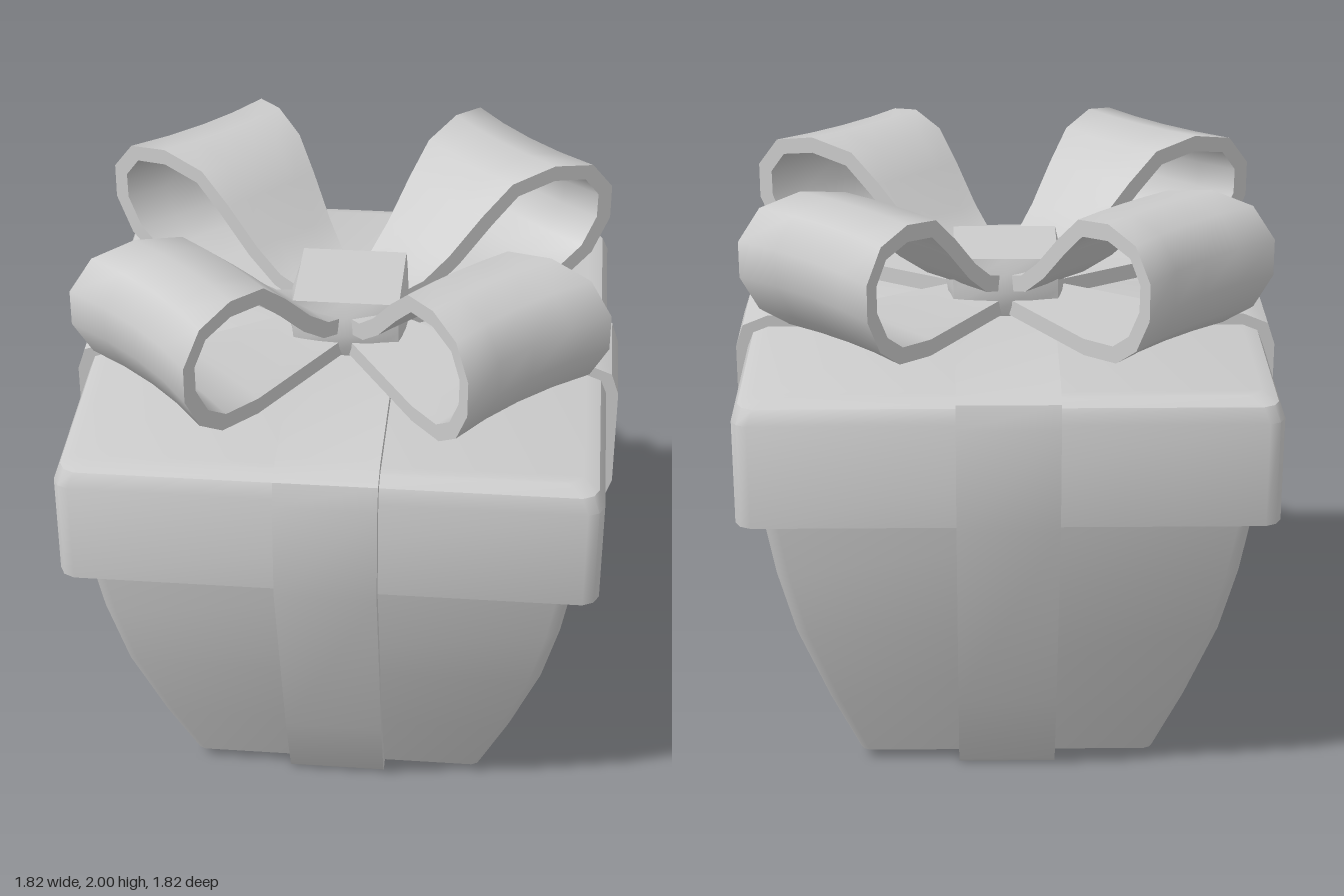
import * as THREE from 'three';
import { toCreasedNormals } from 'three/addons/utils/BufferGeometryUtils.js';

const material = new THREE.MeshStandardMaterial({ color: 0xcccccc });

function addMesh(parent, name, geometry) {
  const mesh = new THREE.Mesh(geometry, material);
  mesh.name = name;
  parent.add(mesh);
  return mesh;
}

// Skin over closed rings (counter-clockwise about the travel direction), capped at both ends
function loft(rings, crease) {
  const n = rings[0].length, pos = [], index = [];
  rings.forEach((ring) => ring.forEach((p) => pos.push(...p)));
  for (let i = 0; i < rings.length - 1; i++) {
    for (let j = 0; j < n; j++) {
      const a = i * n + j, b = i * n + (j + 1) % n;
      index.push(a, b, b + n, a, b + n, a + n);
    }
  }
  const last = (rings.length - 1) * n;
  // Caps are zipped from both sides, so long thin sections stay well formed
  for (let lo = 0, hi = n - 1; lo < hi; lo++, hi--) {
    index.push(hi, lo + 1, lo, last + lo, last + lo + 1, last + hi);
    if (hi - 1 > lo + 1) {
      index.push(hi, hi - 1, lo + 1, last + lo + 1, last + hi - 1, last + hi);
    }
  }
  const geometry = new THREE.BufferGeometry();
  geometry.setAttribute('position', new THREE.Float32BufferAttribute(pos, 3));
  geometry.setIndex(index);
  return toCreasedNormals(geometry, crease);
}

// Repeats one side of a square section around the vertical axis
function squareRing(side, y) {
  const ring = [];
  for (let k = 0; k < 4; k++) {
    for (let [p, q] of side) {
      for (let r = 0; r < k; r++) [p, q] = [-q, p];
      ring.push([q, y, p]);
    }
  }
  return ring;
}

// Square with slightly drawn-in corners
const boxRing = ([r, y]) => squareRing([[r, 0.94 * r], [0.98 * r, 0.98 * r], [0.94 * r, r]], y);

// Square with bulging sides
function knotRing([bulge, y]) {
  const side = [-1, -0.5, 0, 0.5].map((t) => [0.175 + bulge * (1 - t * t), 0.175 * t]);
  return squareRing(side, y);
}

// Closed strap around box and lid, as an outline with a hole
function strapGeometry() {
  const mirror = (half) => [...half, ...half.map(([x, y]) => [-x, y]).reverse()]
    .map(([x, y]) => new THREE.Vector2(x, y));
  const outer = mirror([[0.515, 0], [0.535, 0.02], [0.66, 0.31], [0.91, 1.06], [0.91, 1.41], [0.885, 1.485], [0.8, 1.52]]);
  const inner = mirror([[0.505, 0.04], [0.62, 0.32], [0.87, 1.06], [0.87, 1.41], [0.85, 1.46], [0.8, 1.48]]);
  const shape = new THREE.Shape(outer);
  shape.holes.push(new THREE.Path(inner));
  const geometry = new THREE.ExtrudeGeometry(shape, { depth: 0.33, bevelEnabled: false });
  geometry.translate(0, 0, -0.165);
  return toCreasedNormals(geometry, 0.75);
}

// Bow loop: a thick ribbon that widens away from the knot
function loopGeometry() {
  const path = [
    [0.1, 1.525], [0.57, 1.525], [0.745, 1.555], [0.85, 1.63], [0.915, 1.75], [0.915, 1.87],
    [0.836, 1.97], [0.69, 2.0], [0.53, 1.97], [0.42, 1.875], [0.3, 1.755], [0.207, 1.685], [0.1, 1.655],
  ];
  const thickness = 0.055, steps = [-1, -0.5, 0, 0.5, 1];
  const point = (u, y, s) => [u - 0.04 * u * u * (1 - s * s), y, s * (0.087 + 0.236 * u)];
  const rings = path.map(([u, y], i) => {
    const a = path[Math.max(i - 1, 0)], b = path[Math.min(i + 1, path.length - 1)];
    const len = Math.hypot(b[0] - a[0], b[1] - a[1]);
    const iu = u - thickness * (b[1] - a[1]) / len;
    const iy = y + thickness * (b[0] - a[0]) / len;
    return [
      ...steps.map((s) => point(u, y, -s)),
      ...steps.map((s) => point(iu, iy, s)),
    ];
  });
  return loft(rings, 1.0);
}

export function createModel() {
  const group = new THREE.Group();
  group.name = 'giftBox';

  // Tapered box and overhanging lid
  const bodyProfile = [[0.505, 0.04], [0.6, 0.29], [0.7, 0.59], [0.755, 0.83], [0.795, 1.08]];
  addMesh(group, 'boxBody', loft(bodyProfile.map(boxRing), 0.7));
  const lidProfile = [[0.87, 1.06], [0.87, 1.41], [0.85, 1.46], [0.8, 1.48]];
  addMesh(group, 'lid', loft(lidProfile.map(boxRing), 0.7));

  // Two crossing straps
  const strap = strapGeometry();
  addMesh(group, 'ribbonStrapAcross', strap);
  addMesh(group, 'ribbonStrapFrontToBack', strap).rotation.y = Math.PI / 2;

  // Bow: four diagonal loops and a knot
  const bow = new THREE.Group();
  bow.name = 'bow';
  group.add(bow);
  const loop = loopGeometry();
  for (let k = 0; k < 4; k++) {
    addMesh(bow, 'bowLoop' + (k + 1), loop).rotation.y = Math.PI / 4 + k * Math.PI / 2;
  }
  const knotProfile = [[0, 1.51], [0.02, 1.56], [0.03, 1.61], [0.02, 1.67], [0, 1.72]];
  addMesh(bow, 'bowKnot', loft(knotProfile.map(knotRing), 0.7));

  return group;
}
